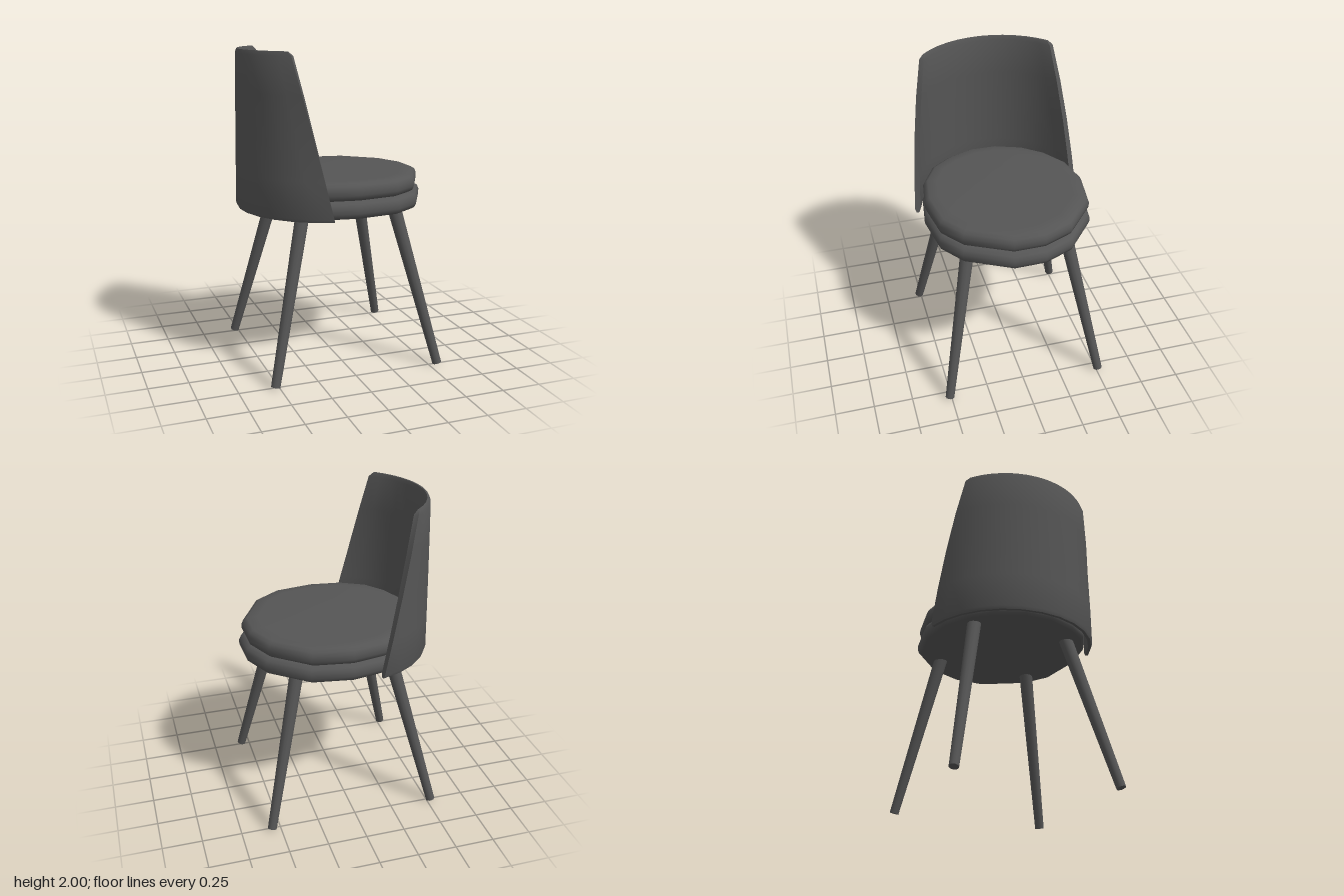
import * as THREE from 'three';
import { toCreasedNormals } from 'three/addons/utils/BufferGeometryUtils.js';

// Solid skin over a row of closed rings (arrays of [x, y, z]), capped at both ends.
function loft(rings, crease = 0.9) {
  const n = rings[0].length, last = (rings.length - 1) * n, index = [];
  for (let i = 0; i < rings.length - 1; i++) {
    for (let k = 0; k < n; k++) {
      const a = i * n + k, b = i * n + (k + 1) % n;
      index.push(a, b, b + n, a, b + n, a + n);
    }
  }
  for (let j = 0; j < n / 2 - 1; j++) {
    const p = n - 1 - j, q = p - 1;
    index.push(last + j, last + j + 1, last + q, last + j, last + q, last + p);
    index.push(j, q, j + 1, j, p, q);
  }
  const geometry = new THREE.BufferGeometry();
  geometry.setAttribute('position', new THREE.Float32BufferAttribute(rings.flat(2), 3));
  geometry.setIndex(index);
  return toCreasedNormals(geometry, crease);
}

// Plan outline of the seat pads, [x, z]
const OUTLINE = [
  [0.6, 0.09], [0.595, -0.11], [0.51, -0.3], [0.28, -0.49],
  [0.02, -0.53], [-0.2, -0.49], [-0.36, -0.39], [-0.47, -0.26],
  [-0.54, -0.08], [-0.54, 0.1], [-0.47, 0.27], [-0.37, 0.4],
  [-0.2, 0.49], [0.02, 0.52], [0.29, 0.48], [0.45, 0.37],
];

// Rounded rim of a pad: [scale, height above its underside]
const RIM = [[0.955, 0], [0.985, 0.012], [1, 0.035], [1, 0.065], [0.98, 0.09], [0.94, 0.104], [0.82, 0.108]];

function padGeometry(y, sx, sz) {
  return loft(RIM.map(([s, h]) => OUTLINE.map(([x, z]) => [x * s * sx, y + h, z * s * sz])));
}

// Curved shell whose side edges lean back towards the top
function backrestGeometry() {
  const centre = -0.036, thickness = 0.035, bottom = 1.01, top = 2;
  const section = [ // [y, inset from each face], outer face downwards
    [2, 0.012], [1.975, 0.002], [1.75, 0], [1.5, 0], [1.25, 0], [1.03, 0], [1.01, 0.008],
  ];
  const point = (f, y, inner, inset) => {
    const v = (y - bottom) / (top - bottom);
    const outerR = 0.564 - 0.013 * v;
    const edgeX = -0.15 - 0.215 * v;
    const corner = y > 1.99 ? 0.04 : 0;
    const a = f * (Math.acos((centre - edgeX) / (outerR - thickness)) - corner);
    const r = inner ? outerR - thickness + inset : outerR - inset;
    return [centre - r * Math.cos(a), y, r * Math.sin(a)];
  };
  const rings = [];
  const steps = 12;
  for (let i = 0; i <= steps; i++) {
    const f = (i / steps) * 2 - 1;
    rings.push([
      ...section.map(([y, inset]) => point(f, y, false, inset)),
      ...section.slice().reverse().map(([y, inset]) => point(f, y, true, inset)),
    ]);
  }
  return loft(rings);
}

export function createModel() {
  const chair = new THREE.Group();
  chair.name = 'chair';
  const charcoal = new THREE.MeshStandardMaterial({ color: 0x555555 });
  charcoal.name = 'charcoal';

  const add = (name, geometry) => {
    const mesh = new THREE.Mesh(geometry, charcoal);
    mesh.name = name;
    chair.add(mesh);
    return mesh;
  };

  add('seatBase', padGeometry(1.01, 1, 1));
  add('seatCushion', padGeometry(1.12, 0.965, 0.985));
  add('backrest', backrestGeometry());

  // Splayed, tapered legs
  const up = new THREE.Vector3(0, 1, 0);
  for (const [end, topX, footX] of [['front', 0.32, 0.555], ['rear', -0.28, -0.525]]) {
    for (const side of [1, -1]) {
      const head = new THREE.Vector3(topX, 1.03, side * 0.312);
      const foot = new THREE.Vector3(footX, 0.013, side * 0.512);
      const axis = head.clone().sub(foot);
      const leg = add(
        end + (side > 0 ? 'LegA' : 'LegB'),
        new THREE.CylinderGeometry(0.044, 0.029, axis.length(), 12),
      );
      leg.position.copy(head).add(foot).multiplyScalar(0.5);
      leg.quaternion.setFromUnitVectors(up, axis.normalize());
    }
  }
  return chair;
}
